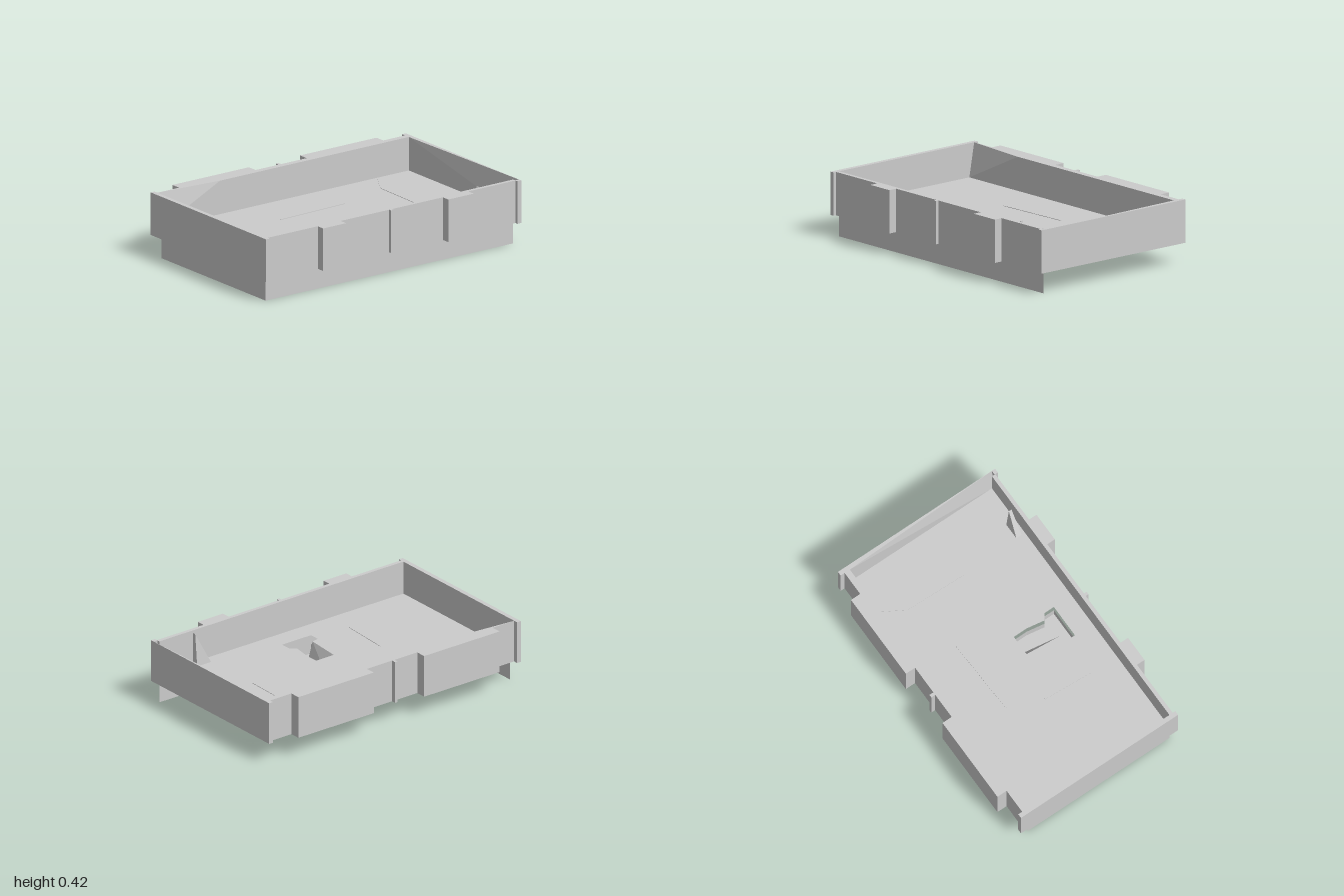
import * as THREE from 'three';
import { ConvexGeometry } from 'three/addons/geometries/ConvexGeometry.js';

const LOW = 0.14, TOP = 0.42, FLOOR = 0.2, PIT = 0.07;

export function createModel() {
  const group = new THREE.Group();
  const solid = new THREE.MeshStandardMaterial({ color: 0xcccccc, flatShading: true });
  const thin = new THREE.MeshStandardMaterial({ color: 0xcccccc, flatShading: true, side: THREE.DoubleSide });

  const add = (name, geometry, material = solid) => {
    const mesh = new THREE.Mesh(geometry, material);
    mesh.name = name;
    group.add(mesh);
    return mesh;
  };
  // Box given by its limits on each axis
  const box = (name, x0, x1, y0, y1, z0, z1) =>
    add(name, new THREE.BoxGeometry(x1 - x0, y1 - y0, z1 - z0))
      .position.set((x0 + x1) / 2, (y0 + y1) / 2, (z0 + z1) / 2);
  const hull = (name, points) =>
    add(name, new ConvexGeometry(points.map((p) => new THREE.Vector3(...p))));

  // Shapes are drawn in (x, -z) and laid flat
  const path = (points, Type) => new Type(points.map(([x, z]) => new THREE.Vector2(x, -z)));
  const slab = (name, shape, y0, y1) => {
    const geometry = new THREE.ExtrudeGeometry(shape, { depth: y1 - y0, bevelEnabled: false });
    geometry.rotateX(-Math.PI / 2).translate(0, y0, 0);
    add(name, geometry);
  };

  // Floor with a T-shaped pit
  const pit = [[0.1, -0.08], [0.2, -0.08], [0.32, -0.06], [0.35, -0.1], [0.42, -0.1],
    [0.42, 0.13], [0.35, 0.13], [0.34, 0.08], [0.1, 0.06]];
  const floor = path([[-0.53, -0.97], [0.555, -0.97], [0.555, 0.97], [-0.53, 0.97]], THREE.Shape);
  floor.holes.push(path(pit, THREE.Path));
  slab('floor', floor, LOW, FLOOR);

  // Pit lining hanging below the floor, and its bottom
  const positions = [];
  pit.forEach(([x, z], i) => {
    const [u, w] = pit[(i + 1) % pit.length];
    positions.push(x, LOW, z, x, PIT, z, u, PIT, w, x, LOW, z, u, PIT, w, u, LOW, w);
  });
  const lining = new THREE.BufferGeometry();
  lining.setAttribute('position', new THREE.Float32BufferAttribute(positions, 3));
  lining.computeVertexNormals();
  add('pitLining', lining, thin);
  slab('pitBottom', path(pit, THREE.Shape), PIT, PIT + 0.005);

  // Sloping ledge along the front of the pit stem
  hull('pitLedge', [
    [0.1, FLOOR, 0.06], [0.34, FLOOR, 0.08], [0.1, PIT, 0.06], [0.34, PIT, 0.08],
    [0.1, PIT, 0.0], [0.34, PIT, 0.04],
  ]);

  // Shallow seams on the floor
  const seams = [
    [[-0.51, -0.71], [-0.34, -0.61], [0.08, -0.6]],
    [[-0.21, 0.28], [-0.23, -0.24]],
    [[0.02, 0.37], [0.36, 0.39]],
  ];
  for (const line of seams) {
    for (let i = 1; i < line.length; i++) {
      const [x0, z0] = line[i - 1], [x1, z1] = line[i];
      const seam = add('floorSeam', new THREE.BoxGeometry(Math.hypot(x1 - x0, z1 - z0), 0.004, 0.006));
      seam.position.set((x0 + x1) / 2, FLOOR + 0.001, (z0 + z1) / 2);
      seam.rotation.y = -Math.atan2(z1 - z0, x1 - x0);
    }
  }

  // Straight walls
  box('frontWall', -0.6, 0.6, LOW, TOP, 0.97, 1);
  box('rightWall', 0.555, 0.58, LOW, TOP, -0.97, 0.97);
  box('leftWall', -0.57, -0.53, LOW, TOP, -0.97, 0.51);

  // Left wall end, cut down towards the front corner
  hull('leftWallEnd', [
    [-0.57, LOW, 0.51], [-0.57, TOP, 0.51], [-0.53, LOW, 0.51], [-0.53, TOP, 0.51],
    [-0.57, LOW, 0.97], [-0.57, TOP, 0.97], [-0.53, LOW, 0.97], [-0.53, FLOOR, 0.97],
  ]);

  // Back wall, its inner face sloping down to one corner
  hull('backWall', [
    [-0.6, LOW, -1], [0.6, LOW, -1], [-0.6, TOP, -1], [0.6, TOP, -1],
    [-0.6, LOW, -0.97], [0.6, LOW, -0.97], [-0.6, TOP, -0.97], [-0.53, TOP, -0.97],
    [0.555, FLOOR, -0.97],
  ]);
  box('backWallLip', 0.575, 0.6, LOW, TOP, -1, -0.97);

  // Buttresses on both long sides
  for (const [z0, z1] of [[-0.8, -0.2], [0.2, 0.8]]) box('leftButtress', -0.64, -0.57, LOW, TOP, z0, z1);
  for (const [z0, z1] of [[-0.6, -0.4], [0.4, 0.58]]) box('rightButtress', 0.58, 0.637, LOW, TOP, z0, z1);
  box('leftRib', -0.6, -0.57, LOW, TOP, 0, 0.02);
  box('rightRib', 0.58, 0.6, LOW, TOP, 0, 0.02);

  // Leaning shard beside the right wall
  hull('wallShard', [
    [0.53, 0.415, -0.72], [0.51, 0.415, -0.72], [0.53, FLOOR, -0.72], [0.49, FLOOR, -0.72],
    [0.53, FLOOR, -0.61], [0.49, FLOOR, -0.61],
  ]);

  // Thin skirts under the front and right edges
  const frontSkirt = add('frontSkirt', new THREE.PlaneGeometry(1.085, LOW), thin);
  frontSkirt.position.set(0.0125, LOW / 2, 0.97);
  const rightSkirt = add('rightSkirt', new THREE.PlaneGeometry(1.94, LOW), thin);
  rightSkirt.rotation.y = Math.PI / 2;
  rightSkirt.position.set(0.555, LOW / 2, 0);

  return group;
}
